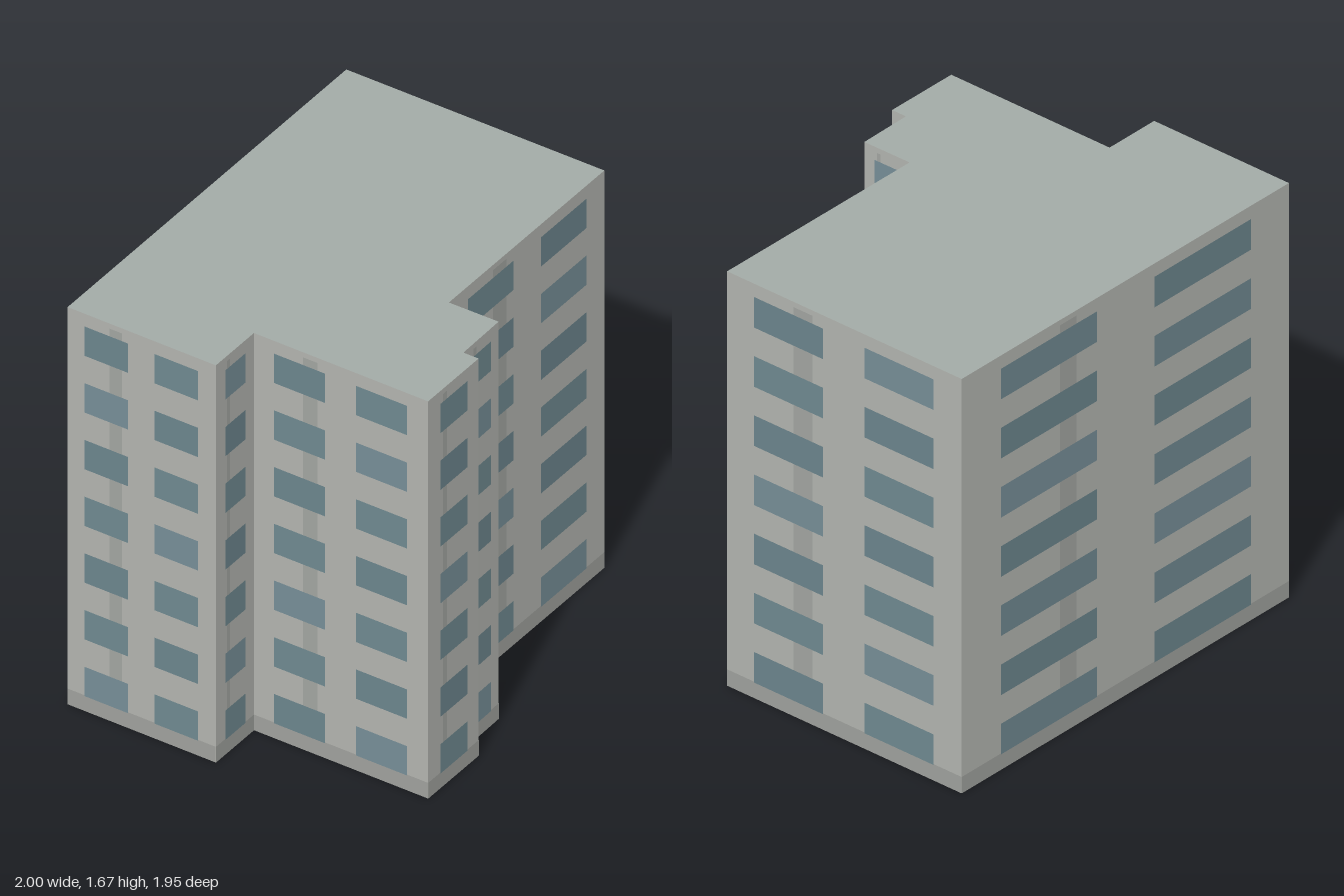
import * as THREE from 'three';

const HEIGHT = 1.666, FLOORS = 7, BASE = 0.066;
// Footprint corners [x, z], counter-clockwise seen from above
const FOOTPRINT = [
  [-1, 0.05], [-0.63, 0.54], [-0.445, 0.4], [-0.01, 0.975], [0.235, 0.79],
  [0.197, 0.74], [0.37, 0.605], [0.245, 0.443], [1, -0.127], [0.355, -0.977],
];

const paint = (color, side = THREE.FrontSide) => new THREE.MeshStandardMaterial({ color, side });

export function createModel() {
  const building = new THREE.Group();
  building.name = 'building';

  const wallMat = paint(0xb2b4af, THREE.DoubleSide);
  const roofMat = paint(0xa3aba7, THREE.DoubleSide);
  const baseMat = paint(0x9fa19d);
  const stripMat = paint(0xa2a5a1);
  const glassMats = [0x6c858d, 0x6f8990, 0x768e97].map((c) => paint(c));

  // Flat upright rectangle on a wall, u along the wall, d outward
  function panel(parent, name, mat, u0, u1, y0, y1, d) {
    const mesh = new THREE.Mesh(new THREE.PlaneGeometry(u1 - u0, y1 - y0), mat);
    mesh.position.set((u0 + u1) / 2, (y0 + y1) / 2, d);
    mesh.name = name;
    parent.add(mesh);
  }

  FOOTPRINT.forEach(([x, z], i) => {
    const [x2, z2] = FOOTPRINT[(i + 1) % FOOTPRINT.length];
    const dx = x2 - x, dz = z2 - z, len = Math.hypot(dx, dz);
    const side = new THREE.Group();
    side.name = `facade${i + 1}`;
    side.position.set(x, 0, z);
    side.rotation.y = Math.atan2(-dz, dx);
    building.add(side);

    panel(side, 'wall', wallMat, 0, len, 0, HEIGHT, 0);
    panel(side, 'baseBand', baseMat, 0, len, 0, BASE, 0.001);
    if (len < 0.1) return; // the small step has no windows

    // Vertical strip behind the windows
    const half = Math.min(0.0425 * len, 0.043);
    panel(side, 'verticalStrip', stripMat, 0.325 * len - half, 0.325 * len + half, BASE, HEIGHT - 0.02, 0.0015);

    // Two windows per floor on wide walls, one on narrow walls
    const spans = len > 0.5 ? [[0.118, 0.412], [0.588, 0.882]] : [[0.235, 0.765]];
    const pitch = HEIGHT / FLOORS;
    for (let f = 0; f < FLOORS; f++) {
      spans.forEach(([a, b], k) => {
        const tint = glassMats[(f * 2 + k * 4 + i * 3) % 5 === 0 ? 2 : (f + k + i) % 2];
        const y = f * pitch + 0.064;
        panel(side, 'window', tint, a * len, b * len, y, y + 0.123, 0.003);
      });
    }
  });

  // Flat roof; the underside stays open
  const outline = new THREE.Shape(FOOTPRINT.map(([x, z]) => new THREE.Vector2(x, -z)));
  const roof = new THREE.Mesh(new THREE.ShapeGeometry(outline).rotateX(-Math.PI / 2), roofMat);
  roof.position.y = HEIGHT;
  roof.name = 'roof';
  building.add(roof);

  return building;
}
